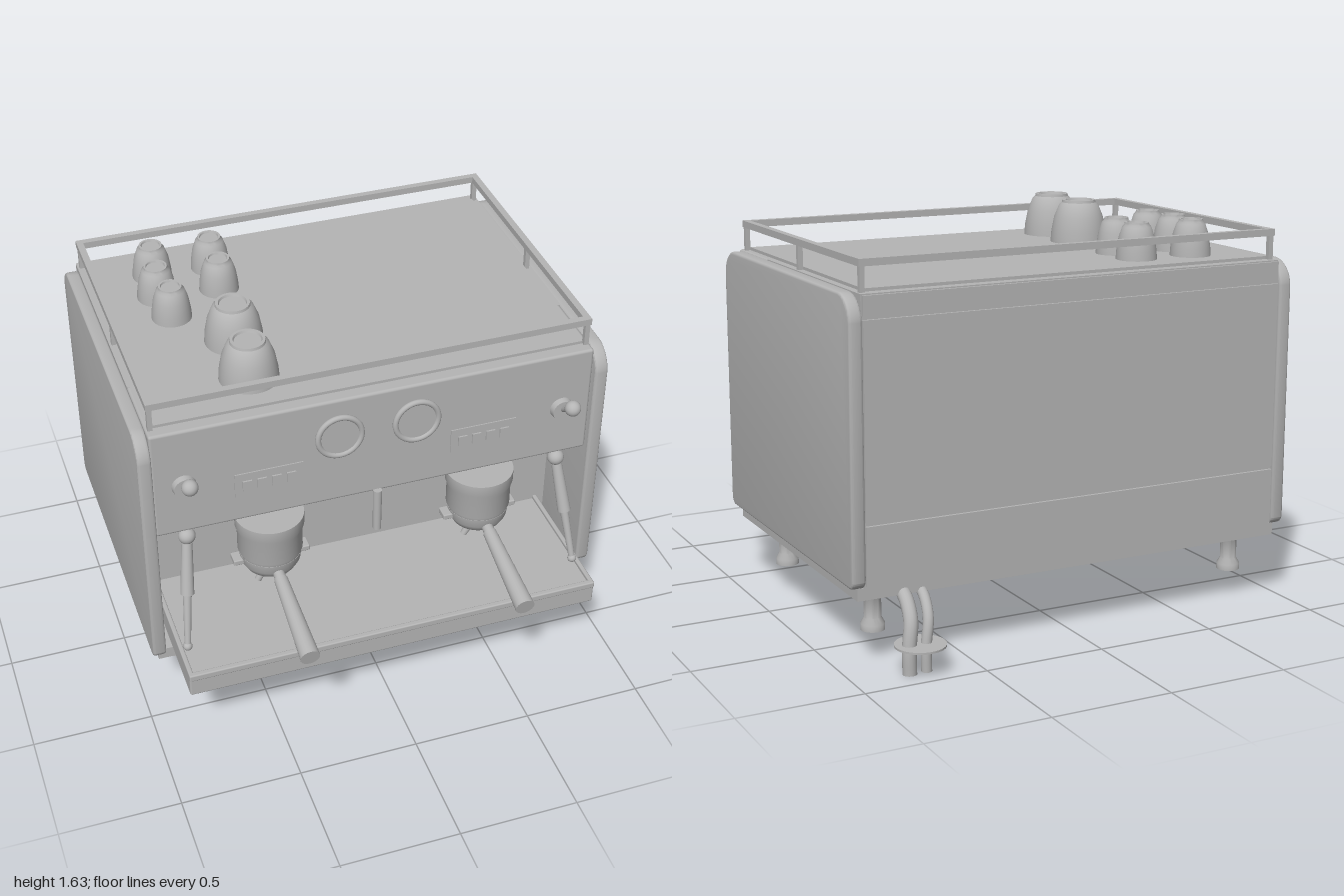
import * as THREE from 'three';
import { toCreasedNormals } from 'three/addons/utils/BufferGeometryUtils.js';
import { RoundedBoxGeometry } from 'three/addons/geometries/RoundedBoxGeometry.js';

export function createModel() {
  const model = new THREE.Group();
  const metal = new THREE.MeshStandardMaterial({ color: 0xb4b4b4 });
  const V = (x, y, z) => new THREE.Vector3(x, y, z);

  const add = (name, geo, x = 0, y = 0, z = 0, parent = model) => {
    const m = new THREE.Mesh(geo, metal);
    m.name = name;
    m.position.set(x, y, z);
    parent.add(m);
    return m;
  };
  // box given by its min and max limits
  const box = (name, x0, x1, y0, y1, z0, z1, r = 0) => {
    const s = [x1 - x0, y1 - y0, z1 - z0];
    const g = r ? new RoundedBoxGeometry(...s, 2, r) : new THREE.BoxGeometry(...s);
    return add(name, g, (x0 + x1) / 2, (y0 + y1) / 2, (z0 + z1) / 2);
  };
  // turned part from [radius, height] pairs, listed bottom to top
  const lathe = (name, pts, x, y, z, seg = 32) => add(name, toCreasedNormals(
    new THREE.LatheGeometry(pts.map(p => new THREE.Vector2(...p)), seg), 0.6), x, y, z);
  // tapered rod between two points
  const rod = (name, a, b, ra, rb = ra) => {
    const d = b.clone().sub(a);
    const m = add(name, new THREE.CylinderGeometry(rb, ra, d.length(), 20));
    m.position.copy(a).addScaledVector(d, 0.5);
    m.quaternion.setFromUnitVectors(V(0, 1, 0), d.normalize());
    return m;
  };
  const ball = (name, r, p) => add(name, new THREE.SphereGeometry(r, 24, 16), p.x, p.y, p.z);

  // Body: rear block, front hood, base and top deck
  box('body', -0.915, 0.915, 0.33, 1.44, -0.81, 0.14);
  box('frontHood', -0.915, 0.915, 0.95, 1.44, 0.1, 0.48, 0.012);
  box('base', -0.94, 0.94, 0.28, 0.33, -0.8, 0.46);
  box('topDeck', -0.885, 0.885, 1.435, 1.452, -0.765, 0.425);

  // Back cover plates separated by grooves
  for (const [y0, y1] of [[0.34, 0.57], [0.585, 1.345], [1.36, 1.435]])
    box('backPlate', -0.91, 0.91, y0, y1, -0.822, -0.8);

  // Side panels with rounded corners
  const side = new THREE.Shape();
  const [u0, u1, v0, v1, b] = [-0.5, 0.82, 0.34, 1.43, 0.01];
  const rt = 0.1, rb = 0.03;
  side.moveTo(u0 + rb, v0);
  side.lineTo(u1 - rb, v0);
  side.absarc(u1 - rb, v0 + rb, rb, -Math.PI / 2, 0);
  side.lineTo(u1, v1 - rt);
  side.absarc(u1 - rt, v1 - rt, rt, 0, Math.PI / 2);
  side.lineTo(u0 + rt, v1);
  side.absarc(u0 + rt, v1 - rt, rt, Math.PI / 2, Math.PI);
  side.lineTo(u0, v0 + rb);
  side.absarc(u0 + rb, v0 + rb, rb, Math.PI, Math.PI * 1.5);
  const sideGeo = toCreasedNormals(new THREE.ExtrudeGeometry(side, {
    depth: 0.035, bevelThickness: b, bevelSize: b, bevelSegments: 3, curveSegments: 10,
  }).rotateY(Math.PI / 2), 0.6);
  add('leftSidePanel', sideGeo, 0.925);
  add('rightSidePanel', sideGeo, -0.96);

  // Drip tray with a raised lip
  box('dripTray', -0.88, 0.88, 0.33, 0.425, 0.14, 0.755, 0.008);
  box('trayFrontLip', -0.88, 0.88, 0.41, 0.44, 0.735, 0.76, 0.006);
  for (const s of [-1, 1])
    box('trayEndLip', s * 0.87 - 0.01, s * 0.87 + 0.01, 0.41, 0.44, 0.14, 0.755, 0.006);

  // Cup rail on posts
  const t = 0.014, railY = 1.55, zf = 0.43, zb = -0.775;
  for (const z of [zf, zb]) box('railBar', -0.91, 0.91, railY - t, railY + t, z - t, z + t);
  for (const s of [-1, 1]) {
    box('railBar', s * 0.896 - t, s * 0.896 + t, railY - t, railY + t, zb, zf);
    for (const z of [zf, -0.17, zb])
      box('railPost', s * 0.896 - 0.01, s * 0.896 + 0.01, 1.43, railY, z - 0.01, z + 0.01);
  }

  // Upturned cups
  const cup = (name, x, z, r, h) => lathe(name, [[0, 0], [r, 0], [r * 0.97, h * 0.25], [r * 0.87, h * 0.6],
    [r * 0.7, h * 0.88], [r * 0.6, h * 0.94], [r * 0.58, h], [r * 0.48, h], [r * 0.45, h * 0.95],
    [0, h * 0.95]], x, 1.45, z);
  for (const [x, z] of [[-0.63, -0.6], [-0.65, -0.435], [-0.63, -0.27], [-0.38, -0.59], [-0.39, -0.415]])
    cup('smallCup', x, z, 0.083, 0.15);
  for (const [x, z] of [[-0.435, 0.03 - 0.06], [-0.45, 0.235]]) cup('largeCup', x, z, 0.12, 0.18);

  // Feet
  for (const x of [-0.82, 0.82]) for (const z of [-0.66, 0.25])
    lathe('foot', [[0, 0], [0.048, 0], [0.048, 0.025], [0.034, 0.05], [0.034, 0.13], [0.045, 0.15],
      [0.045, 0.18], [0, 0.18]], x, 0.11, z, 24);

  for (const s of [-1, 1]) {
    // Pressure gauge: face and bezel
    const face = add('gaugeFace', new THREE.CylinderGeometry(0.09, 0.09, 0.015, 40), s * 0.16, 1.27, 0.483);
    face.rotation.x = Math.PI / 2;
    add('gaugeBezel', new THREE.TorusGeometry(0.09, 0.012, 12, 48), s * 0.16, 1.27, 0.488);

    // Button panel
    const px = s * 0.45;
    box('buttonPanel', px - 0.14, px + 0.14, 1.07, 1.18, 0.478, 0.485);
    for (let i = 0; i < 4; i++) {
      const bx = px + (i - 1.5) * 0.06;
      box('button', bx - 0.019, bx + 0.019, 1.1, 1.145, 0.48, 0.492);
    }

    // Steam knob
    const hub = add('knobHub', new THREE.CylinderGeometry(0.045, 0.05, 0.03, 32), s * 0.79, 1.18, 0.49);
    hub.rotation.x = Math.PI / 2;
    rod('knobStem', V(s * 0.79, 1.18, 0.49), V(s * 0.79, 1.25, 0.58), 0.013);
    ball('knobBall', 0.033, V(s * 0.79, 1.248, 0.582));

    // Steam wand: ball joint, grip, pipe and tip
    const top = V(s * 0.79, 0.92, 0.47), tip = V(s * 0.845, 0.455, 0.6);
    const at = k => top.clone().lerp(tip, k);
    ball('wandJoint', 0.035, top);
    rod('wandGrip', at(0.06), at(0.52), 0.022, 0.028);
    rod('wandPipe', at(0.5), tip, 0.018, 0.013);
    ball('wandTip', 0.019, tip);

    // Group head and filter holder
    const gz = 0.465;
    lathe('groupHead', [[0, 0.08], [0.125, 0.08], [0.132, 0.1], [0.132, 0.2], [0.14, 0.22], [0.14, 0.27],
      [0, 0.27]], px, 0.68, gz, 40);
    lathe('filterHolder', [[0, 0], [0.08, 0], [0.105, 0.02], [0.122, 0.05], [0.128, 0.09], [0, 0.09]],
      px, 0.675, gz, 40);
    box('holderLugs', px - 0.16, px + 0.16, 0.727, 0.752, gz - 0.03, gz + 0.03, 0.005);
    rod('handleNeck', V(px, 0.725, 0.55), V(px, 0.708, 0.63), 0.022, 0.025);
    rod('handle', V(px, 0.71, 0.61), V(px, 0.63, 0.992), 0.028, 0.04);
    for (const k of [-1, 1])
      rod('spout', V(px + k * 0.015, 0.68, gz), V(px + k * 0.055, 0.605, gz), 0.018, 0.014);
  }

  // Hot water spout
  rod('waterSpout', V(0, 0.96, 0.485), V(0, 0.76, 0.485), 0.019, 0.017);

  // Drain hoses and floor collar
  const hose = (x0, x1, r, dz) => {
    const path = new THREE.CatmullRomCurve3([V(x0, 0.3, -0.74 + dz), V(x0 + 0.005, 0.265, -0.82 + dz),
      V((x0 + x1) / 2, 0.2, -0.88 + dz), V(x1, 0.1, -0.898 + dz), V(x1, 0, -0.9 + dz)]);
    add('drainHose', new THREE.TubeGeometry(path, 28, r, 16));
    const cap = add('hoseEnd', new THREE.CircleGeometry(r, 16), x1, 0.001, -0.9 + dz);
    cap.rotation.x = Math.PI / 2;
  };
  hose(0.67, 0.705, 0.021, 0);
  hose(0.745, 0.775, 0.028, 0);
  add('floorCollar', new THREE.CylinderGeometry(0.1, 0.1, 0.008, 40), 0.73, 0.11, -0.9);

  return model;
}
